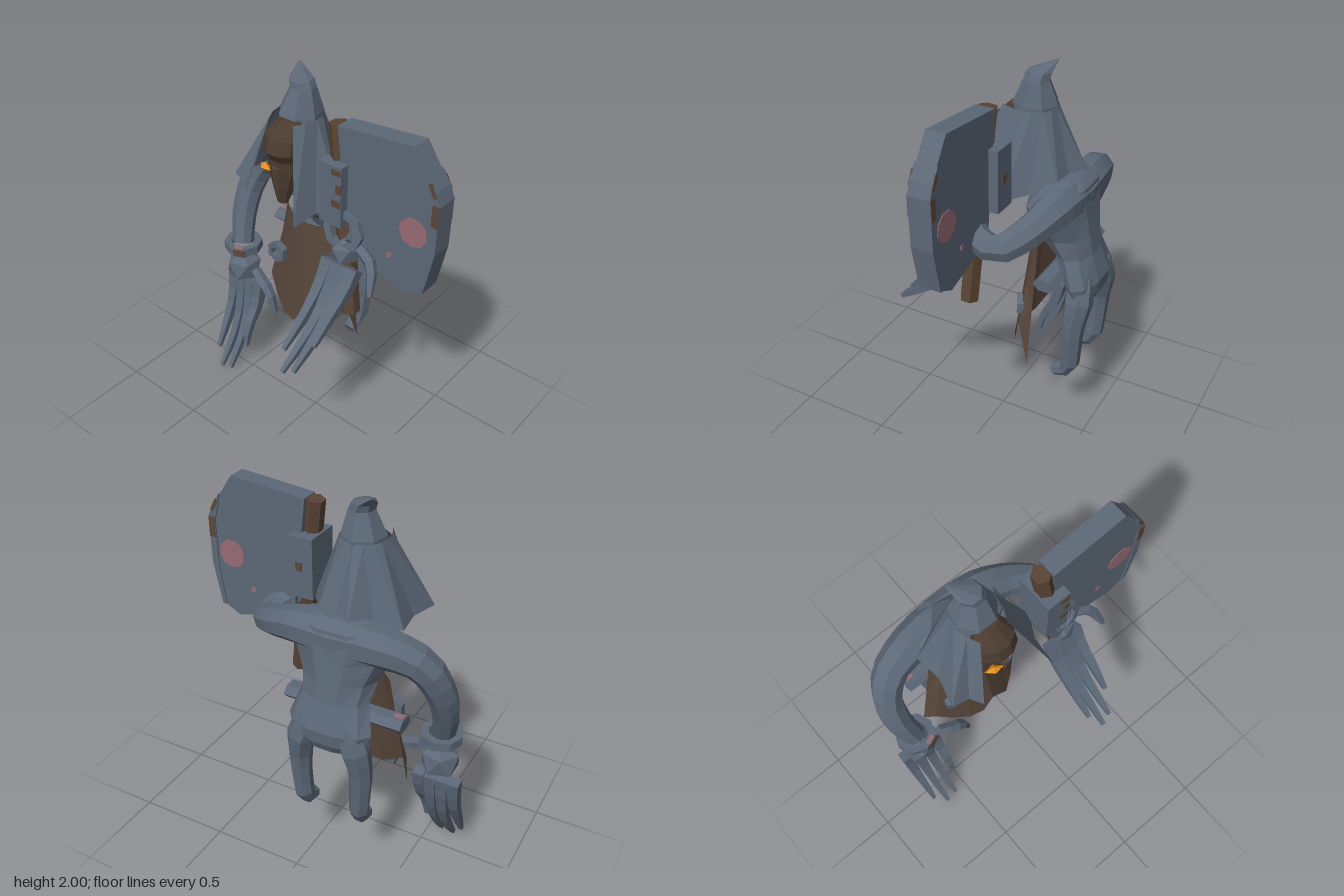
import * as THREE from 'three';

const V = (x, y, z) => new THREE.Vector3(x, y, z);
const paint = (name, color) => {
  const m = new THREE.MeshStandardMaterial({ color, side: THREE.DoubleSide });
  m.name = name;
  return m;
};

export function createModel() {
  const root = new THREE.Group();
  root.name = 'hoodedGhoul';
  const slate = paint('slate', 0x5c6877);
  const cloth = paint('apronCloth', 0x57463a);
  const skin = paint('darkSkin', 0x4a3b2f);
  const wood = paint('wood', 0x584333);
  const rust = paint('rust', 0x5c4738);
  const blood = paint('blood', 0x966b73);
  const glow = paint('glow', 0xe8901c);

  // Faceted mesh from any geometry
  const add = (name, geo, mat, pos = [0, 0, 0], rot = [0, 0, 0], scale = [1, 1, 1]) => {
    const g = geo.index ? geo.toNonIndexed() : geo;
    g.computeVertexNormals();
    const mesh = new THREE.Mesh(g, mat);
    mesh.name = name;
    mesh.position.set(...pos);
    mesh.rotation.set(...rot);
    mesh.scale.set(...scale);
    root.add(mesh);
  };
  const box = (name, mat, size, pos, rot) => add(name, new THREE.BoxGeometry(...size), mat, pos, rot);

  // Surface through rows of points
  const surface = (rows, closed, caps) => {
    const out = [];
    const tri = (a, b, c) => [a, b, c].forEach(p => out.push(p.x, p.y, p.z));
    const n = rows[0].length;
    for (let r = 0; r + 1 < rows.length; r++) {
      for (let i = 0; i < (closed ? n : n - 1); i++) {
        const j = (i + 1) % n, a = rows[r], b = rows[r + 1];
        tri(a[i], a[j], b[j]);
        tri(a[i], b[j], b[i]);
      }
    }
    if (caps) {
      const first = rows[0], last = rows[rows.length - 1];
      for (let i = 1; i + 1 < n; i++) {
        tri(first[0], first[i + 1], first[i]);
        tri(last[0], last[i], last[i + 1]);
      }
    }
    const g = new THREE.BufferGeometry();
    g.setAttribute('position', new THREE.Float32BufferAttribute(out, 3));
    return g;
  };
  // Stacked ellipses, each [y, cx, cz, rx, rz], listed upward
  const loft = (rings, n) => surface(rings.map(([y, cx, cz, rx, rz]) =>
    Array.from({ length: n }, (_, i) => {
      const a = (i + 0.5) / n * Math.PI * 2;
      return V(cx + rx * Math.sin(a), y, cz + rz * Math.cos(a));
    })), true, true);
  // Tapered limb along a curve
  const limb = (pts, radii, sides, steps) => {
    const curve = new THREE.CatmullRomCurve3(pts.map(p => V(...p)));
    const f = curve.computeFrenetFrames(steps, false);
    const rows = [];
    for (let s = 0; s <= steps; s++) {
      const t = s / steps, c = curve.getPointAt(t);
      const k = t * (radii.length - 1), k0 = Math.min(Math.floor(k), radii.length - 2);
      const r = THREE.MathUtils.lerp(radii[k0], radii[k0 + 1], k - k0);
      rows.push(Array.from({ length: sides }, (_, i) => {
        const a = (i + 0.5) / sides * Math.PI * 2;
        return c.clone().addScaledVector(f.normals[s], r * Math.cos(a)).addScaledVector(f.binormals[s], r * Math.sin(a));
      }));
    }
    return surface(rows, true, true);
  };
  // Square-section ring
  const ring = (inner, outer, h, n) => new THREE.LatheGeometry(
    [[inner, -h], [outer, -h], [outer, h], [inner, h], [inner, -h]].map(p => new THREE.Vector2(...p)), n);
  const slab = (pts, depth) => new THREE.ExtrudeGeometry(
    new THREE.Shape(pts.map(p => new THREE.Vector2(...p))), { depth, bevelEnabled: false }).translate(0, 0, -depth / 2);

  // Torso bending back into the hips
  add('torso', loft([
    [0.82, -0.16, -0.425, 0.13, 0.045], [0.87, -0.16, -0.425, 0.2, 0.07], [0.94, -0.16, -0.41, 0.222, 0.092],
    [1.08, -0.16, -0.35, 0.18, 0.105], [1.18, -0.16, -0.295, 0.195, 0.145], [1.29, -0.16, -0.26, 0.25, 0.165],
    [1.37, -0.16, -0.26, 0.3, 0.155], [1.44, -0.16, -0.28, 0.25, 0.125], [1.48, -0.16, -0.29, 0.12, 0.06]], 10), slate);

  // Legs with curled feet
  for (const s of [-1, 1]) {
    add('leg', limb([[-0.16 + s * 0.1, 0.96, -0.41], [-0.16 + s * 0.145, 0.85, -0.425], [-0.16 + s * 0.168, 0.7, -0.41],
      [-0.16 + s * 0.165, 0.55, -0.405], [-0.16 + s * 0.155, 0.41, -0.385], [-0.16 + s * 0.155, 0.37, -0.31]],
    [0.07, 0.075, 0.062, 0.055, 0.052, 0.035], 7, 10), slate);
  }

  // Arms and wrist cuffs
  add('rightArm', limb([[-0.14, 1.37, -0.31], [-0.38, 1.37, -0.3], [-0.55, 1.32, -0.27], [-0.63, 1.18, -0.22],
    [-0.645, 1.0, -0.15], [-0.615, 0.83, -0.09]], [0.11, 0.105, 0.088, 0.075, 0.07, 0.06], 8, 12), slate);
  add('leftArm', limb([[-0.18, 1.37, -0.31], [0.05, 1.37, -0.3], [0.22, 1.32, -0.25], [0.34, 1.265, -0.15],
    [0.325, 1.29, -0.04], [0.24, 1.35, 0.04]], [0.11, 0.105, 0.085, 0.075, 0.067, 0.055], 8, 12), slate);
  add('rightCuff', ring(0.07, 0.108, 0.024, 8), slate, [-0.61, 0.82, -0.09]);
  add('leftCuff', ring(0.07, 0.108, 0.024, 8), slate, [0.235, 1.36, 0.065], [1.45, 0, -0.1]);
  box('cuffRust', rust, [0.07, 0.04, 0.006], [-0.555, 0.82, 0.004], [0, 0.39, 0]);
  box('cuffBlood', blood, [0.05, 0.006, 0.025], [-0.57, 0.846, -0.01], [0, 0.4, 0]);
  box('cuffBlood', blood, [0.025, 0.025, 0.006], [0.145, 1.37, 0.09]);

  // Hands: palm, four long fingers and a thumb
  const hand = (side, palm, size, bases, baseY, tips, mids, thumb) => {
    add(side + 'Palm', new THREE.IcosahedronGeometry(size, 0), slate, palm, [0, 0, 0.553]);
    tips.forEach((t, i) => {
      const path = mids.map(([f, z]) => [THREE.MathUtils.lerp(bases[i], t[0], f), THREE.MathUtils.lerp(baseY, t[1], f), z]);
      add(side + 'Finger', limb([...path, t], [0.044, 0.039, 0.032, 0.026, 0.015], 4, 5), slate);
    });
    add(side + 'Thumb', limb(thumb, [0.03, 0.034, 0.028, 0.014], 5, 5), slate);
  };
  hand('right', [-0.61, 0.67, -0.085], 0.108, [-0.7, -0.638, -0.575, -0.51], 0.568,
    [[-0.7, 0.1, 0.08], [-0.64, 0.01, 0.125], [-0.575, 0.025, 0.115], [-0.515, 0.175, 0.03]],
    [[0, -0.105], [0.35, -0.075], [0.68, 0.0]],
    [[-0.49, 0.7, -0.06], [-0.43, 0.67, -0.04], [-0.37, 0.63, -0.03], [-0.325, 0.49, -0.03]]);
  hand('left', [0.235, 1.24, 0.06], 0.078, [0.16, 0.212, 0.262, 0.31], 1.17,
    [[0.15, 0.8, 0.42], [0.2, 0.73, 0.49], [0.255, 0.75, 0.47], [0.3, 0.87, 0.37]],
    [[0, 0.08], [0.33, 0.145], [0.65, 0.26]],
    [[0.29, 1.28, 0.05], [0.34, 1.28, 0.06], [0.405, 1.245, 0.08], [0.455, 1.12, 0.15]]);

  // Hood: ragged hem spikes open at the front, drawn up to a collar
  const hem = [[0.05, 1.37, 0.22], [0.125, 1.38, -0.05], [-0.02, 1.43, -0.29], [-0.22, 1.45, -0.36],
    [-0.43, 1.42, -0.2], [-0.455, 1.42, 0.09], [-0.325, 1.37, 0.16]].map(p => V(...p));
  const low = [], high = [];
  const mid = V(-0.165, 1.45, -0.08);
  hem.forEach((p, i) => {
    low.push(p);
    if (i < hem.length - 1) low.push(p.clone().lerp(hem[i + 1], 0.5).lerp(mid, 0.1));
  });
  low.forEach((p, i) => {
    const a = 0.7 + i / (low.length - 1) * (Math.PI * 2 - 1.4), c = Math.cos(a);
    high.push(V(-0.165 + 0.115 * Math.sin(a), 1.79, -0.085 + (c > 0 ? 0.18 : 0.115) * c));
  });
  add('hood', surface([low, high], false, false), slate);
  add('hoodPeak', loft([[1.765, -0.165, -0.085, 0.113, 0.12], [1.8, -0.165, -0.09, 0.11, 0.115],
    [1.92, -0.155, -0.095, 0.065, 0.065], [1.955, -0.17, -0.1, 0.06, 0.065], [2.0, -0.235, -0.165, 0.006, 0.006]], 7), slate);

  // Face with brow, nose and one burning eye
  add('head', loft([[1.36, -0.16, 0.06, 0.03, 0.025], [1.46, -0.16, 0.045, 0.065, 0.055], [1.55, -0.16, 0.03, 0.095, 0.078],
    [1.6, -0.16, 0.03, 0.1, 0.078], [1.65, -0.16, 0.045, 0.108, 0.095], [1.72, -0.16, 0.035, 0.105, 0.085],
    [1.79, -0.16, -0.01, 0.06, 0.05]], 10), skin);
  add('nose', new THREE.ConeGeometry(0.026, 0.15, 4), wood, [-0.162, 1.495, 0.105], [Math.PI, 0, 0]);
  add('eye', new THREE.OctahedronGeometry(0.047, 0), glow, [-0.22, 1.555, 0.112], [0, -0.3, 0], [1, 0.55, 0.5]);

  // Ragged apron
  const tatters = [[-0.49, 0.56], [-0.45, 0.66], [-0.36, 0.57], [-0.28, 0.51], [-0.2, 0.5],
    [-0.13, 0.6], [-0.02, 0.46], [0.04, 0.57], [0.1, 0.68], [0.13, 0.46]];
  const rowAt = t => tatters.map(([x, y], i) => {
    const u = i / (tatters.length - 1), bow = 4 * u * (1 - u);
    return V(THREE.MathUtils.lerp(x, -0.38 + 0.43 * u, t), THREE.MathUtils.lerp(y, 1.145, t),
      THREE.MathUtils.lerp(-0.21 + 0.17 * bow, -0.22 + 0.11 * bow, t));
  });
  add('apron', surface([0, 0.5, 1].map(rowAt), false, false), cloth);

  // Rod through the waist and nuts on the apron
  add('waistRod', new THREE.CylinderGeometry(0.038, 0.038, 0.63, 6), slate, [-0.185, 0.98, -0.295],
    [0, 0, Math.PI / 2], [1, 1, 1.6]);
  box('rodBlood', blood, [0.05, 0.006, 0.03], [-0.47, 1.016, -0.295]);
  add('apronNut', ring(0.033, 0.062, 0.02, 6), slate, [-0.34, 0.89, -0.085], [Math.PI / 2, 0, 0]);
  add('apronNut', ring(0.03, 0.058, 0.02, 6), slate, [0.045, 0.77, -0.128], [Math.PI / 2, 0, -0.45]);

  // Cleaver: blade, thicker cutting edge, socket and handle
  add('cleaverBlade', slab([[0.17, 1.88], [0.24, 1.3], [0.31, 1.225], [0.58, 1.15], [0.675, 1.2],
    [0.72, 1.43], [0.72, 1.68], [0.69, 1.76], [0.58, 1.92]], 0.1), slate);
  add('cleaverEdge', slab([[0.66, 1.197], [0.683, 1.2], [0.727, 1.43], [0.73, 1.68], [0.705, 1.745], [0.66, 1.81],
    [0.665, 1.76], [0.692, 1.67], [0.69, 1.43]], 0.114), slate);
  box('socket', slate, [0.13, 0.32, 0.2], [0.17, 1.545, 0]);
  add('handle', new THREE.CylinderGeometry(0.05, 0.05, 1.0, 6), wood, [0.205, 1.375, 0.025], [-0.045, 0, 0.13]);

  // Rust on the socket, rust and blood on both faces of the blade
  for (const [x, y, z, w, h] of [[0.205, 1.675, 0.101, 0.05, 0.03], [0.22, 1.59, 0.101, 0.03, 0.045],
    [0.205, 1.51, 0.101, 0.045, 0.035], [0.18, 1.55, -0.101, 0.035, 0.045]])
    box('socketRust', rust, [w, h, 0.006], [x, y, z]);
  for (const s of [-1, 1]) {
    for (const [x, y, w, h, a] of [[0.712, 1.63, 0.033, 0.11, 0], [0.69, 1.75, 0.018, 0.07, 0.5]])
      box('edgeRust', rust, [w, h, 0.006], [x, y, s * 0.057], [0, 0, a]);
    for (const [x, y, r] of [[0.605, 1.5, 0.076], [0.485, 1.325, 0.016]])
      add('bladeBlood', new THREE.CylinderGeometry(r, r, 0.006, 9), blood, [x, y, s * 0.051], [Math.PI / 2, 0, 0]);
  }

  return root;
}
